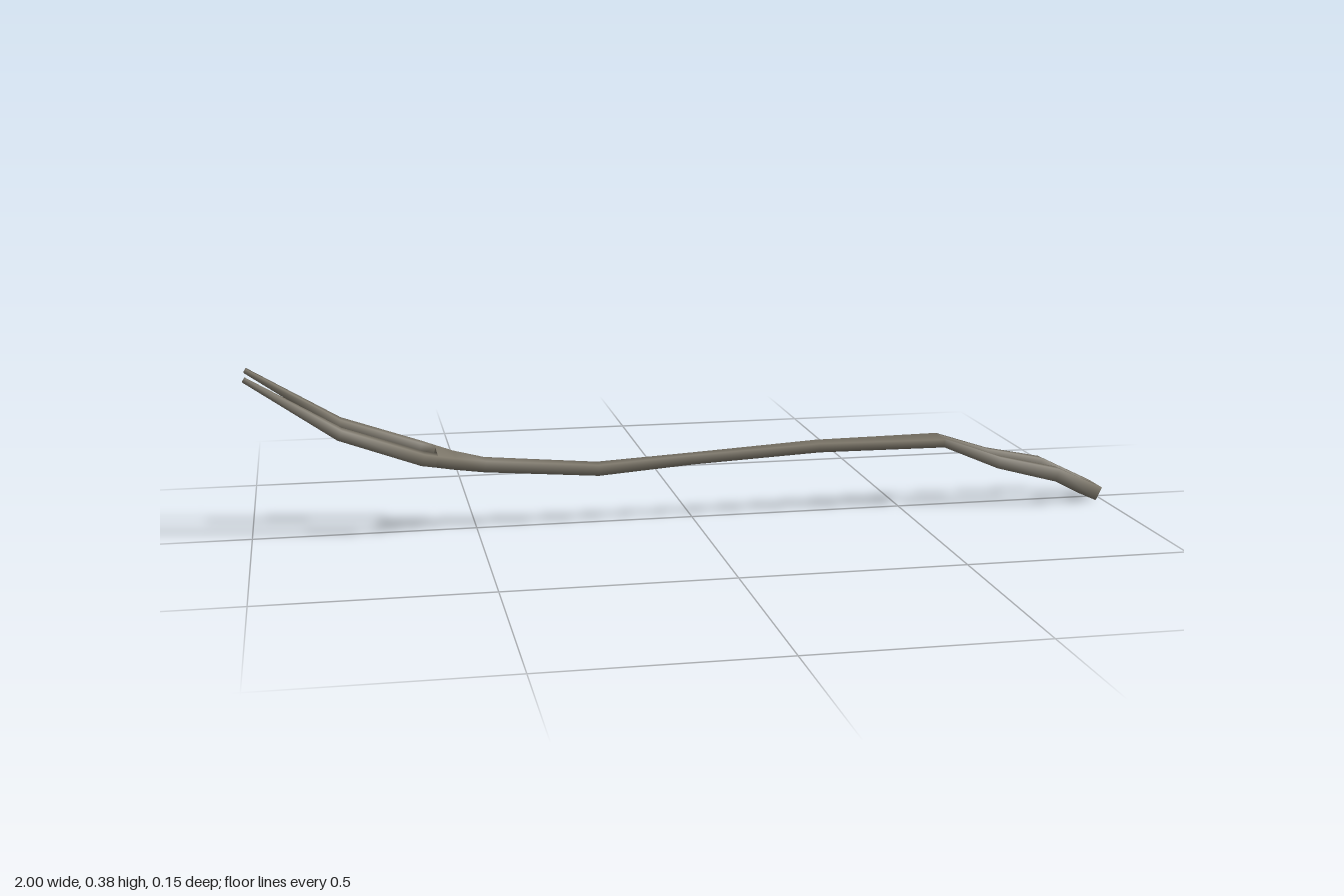
import * as THREE from 'three';

// Four-cornered section: an inner and an outer edge point, thickness h, and
// the slope dy/dx of the metal there (thickness is measured square to it).
const bent = (inner, outer, h, slope) => ({ inner, outer, h, slope });
const flat = (x, y, zIn, zOut, h, slope) => bent([x, y, zIn], [x, y, zOut], h, slope);

// Skin a row of sections; side = -1 mirrors the part across z = 0.
function sweep(sections, side = 1) {
  const pos = [], index = [];
  const rings = sections.map(({ inner, outer, h, slope }) => {
    const k = h / 2 / Math.hypot(1, slope), nx = -slope * k, ny = k;
    const corner = (p, s) => [p[0] + s * nx, p[1] + s * ny, p[2] * side];
    return [corner(inner, 1), corner(outer, 1), corner(outer, -1), corner(inner, -1)];
  });
  const quad = (a, b, c, d) => {
    if (side > 0) index.push(a, b, c, a, c, d);
    else index.push(a, c, b, a, d, c);
  };
  rings.forEach((r) => r.forEach((p) => pos.push(...p)));
  for (let i = 0; i < rings.length - 1; i++) {
    for (let j = 0; j < 4; j++) {
      const a = i * 4 + j, b = i * 4 + (j + 1) % 4;
      quad(a, b, b + 4, a + 4);
    }
  }
  // end caps on their own vertices so the ends stay crisp
  const n = pos.length / 3;
  [rings[0], rings[rings.length - 1]].forEach((r) => r.forEach((p) => pos.push(...p)));
  quad(n + 3, n + 2, n + 1, n);
  quad(n + 4, n + 5, n + 6, n + 7);
  const g = new THREE.BufferGeometry();
  g.setAttribute('position', new THREE.Float32BufferAttribute(pos, 3));
  g.setIndex(index);
  g.computeVertexNormals();
  return g;
}

export function createModel() {
  const group = new THREE.Group();
  const metal = new THREE.MeshStandardMaterial({ color: 0x7a7467 });
  metal.name = 'dull metal';
  const add = (name, geometry) => {
    const mesh = new THREE.Mesh(geometry, metal);
    mesh.name = name;
    group.add(mesh);
  };

  // Long S-curved handle: x, y, half width, thickness, slope
  const handle = [
    [-0.59, 0.174, 0.059, 0.026, -0.28],
    [-0.55, 0.163, 0.041, 0.026, -0.26],
    [-0.48, 0.149, 0.021, 0.026, -0.14],
    [-0.22, 0.127, 0.018, 0.025, 0],
    [0, 0.141, 0.014, 0.022, 0.06],
    [0.3, 0.157, 0.021, 0.021, 0.03],
    [0.6, 0.158, 0.037, 0.019, -0.15],
  ].map(([x, y, w, h, s]) => flat(x, y, -w, w, h, s));
  add('handle', sweep(handle));

  // One tine, running from the fork of the handle to its upturned tip
  const tine = [
    flat(-1, 0.375, 0.049, 0.063, 0.01, -0.65),
    flat(-0.8, 0.246, 0.04, 0.073, 0.024, -0.5),
    flat(-0.62, 0.182, 0.04, 0.072, 0.027, -0.32),
    flat(-0.59, 0.174, 0.028, 0.059, 0.026, -0.28),
  ];

  // One half of the open loop, ending halfway along its end bar
  const loopHalf = [
    flat(0.6, 0.158, 0.017, 0.037, 0.019, -0.15),
    flat(0.73, 0.109, 0.033, 0.055, 0.027, -0.3),
    flat(0.87, 0.076, 0.041, 0.071, 0.031, -0.36),
    bent([0.957, 0.03, 0.018], [0.99, 0.017, 0.04], 0.034, -0.5),
    bent([0.957, 0.03, 0], [0.99, 0.017, 0], 0.034, -0.5),
  ];

  for (const [label, side] of [['front', 1], ['back', -1]]) {
    add(label + 'Tine', sweep(tine, side));
    add(label + 'LoopHalf', sweep(loopHalf, side));
  }
  return group;
}
